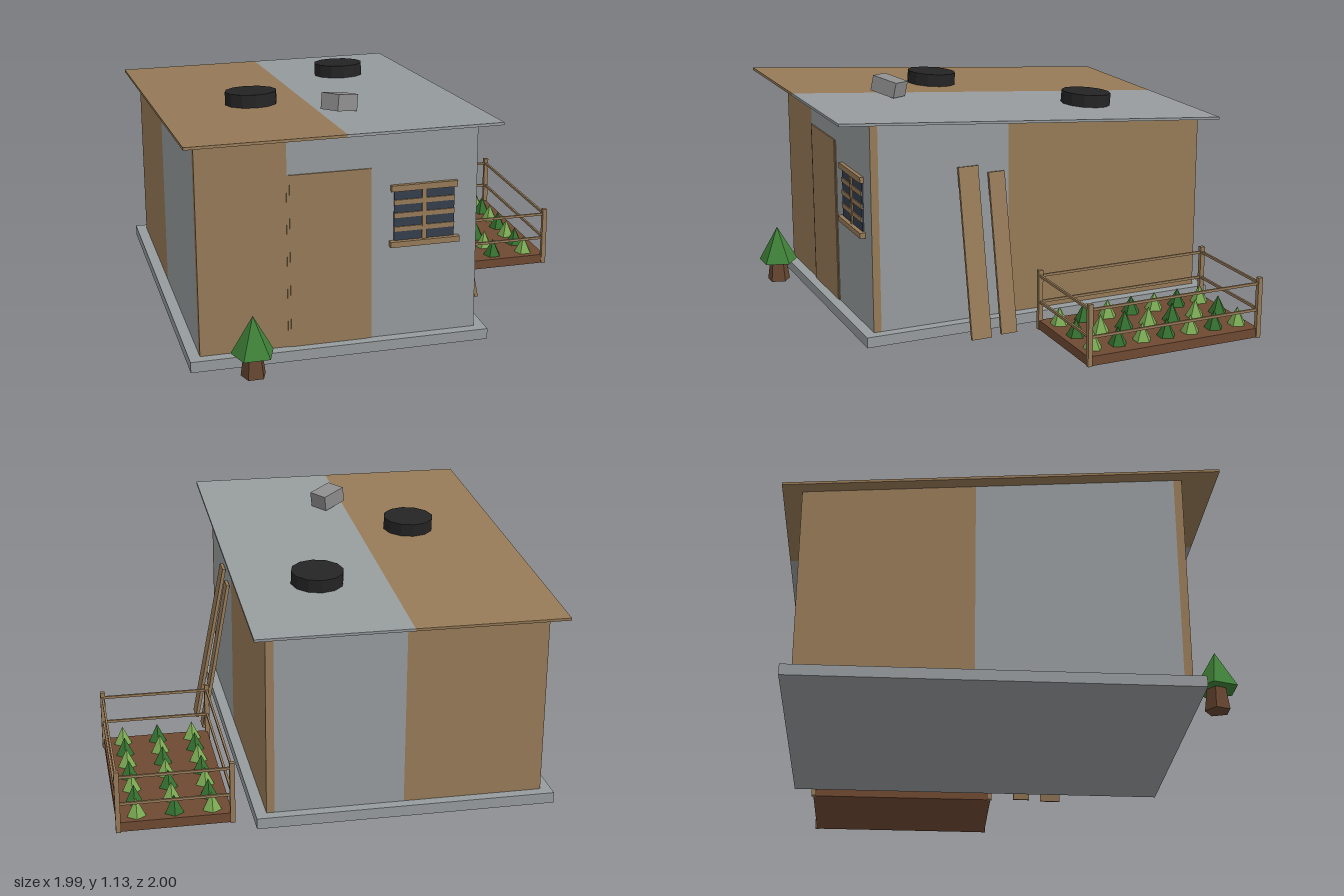
import * as THREE from 'three';

const mat = (name, color) => Object.assign(new THREE.MeshStandardMaterial({ color }), { name });

export function createModel() {
  const root = new THREE.Group();
  root.name = 'shack';
  const wood = mat('wood', 0x967a58);
  const grey = mat('grey panel', 0x969b9d);
  const brickGrey = mat('block grey', 0x8e8e8e);
  const glass = mat('window glass', 0x353f4d);
  const rubber = mat('tyre black', 0x242424);
  const soil = mat('soil', 0x6e4932);
  const trunkBrown = mat('trunk brown', 0x664630);
  const darkGreen = mat('dark green', 0x35702f);
  const lightGreen = mat('light green', 0x7cab54);
  const treeGreen = mat('tree green', 0x3f8038);
  [rubber, darkGreen, lightGreen, treeGreen, trunkBrown].forEach(m => { m.flatShading = true; });

  const add = (name, geo, material, x = 0, y = 0, z = 0, parent = root) => {
    const mesh = new THREE.Mesh(geo, material);
    mesh.name = name;
    mesh.position.set(x, y, z);
    parent.add(mesh);
    return mesh;
  };
  // box given by its extents
  const block = (name, material, x0, x1, y0, y1, z0, z1, parent) =>
    add(name, new THREE.BoxGeometry(x1 - x0, y1 - y0, z1 - z0), material,
      (x0 + x1) / 2, (y0 + y1) / 2, (z0 + z1) / 2, parent);
  const group = (name) => {
    const g = new THREE.Group();
    g.name = name;
    root.add(g);
    return g;
  };

  // sloping roof line
  const slope = 0.0775, tilt = -Math.atan(slope);
  const roofTop = z => 1.06 - slope * (0.937 - z);

  block('foundation', grey, -0.985, 0.38, 0, 0.05, -0.962, 0.825);

  // walls: panels whose tops follow the roof
  const walls = group('walls');
  const wall = (name, material, x0, x1, z0, z1) => {
    const geo = new THREE.BoxGeometry(x1 - x0, 1, z1 - z0);
    geo.translate((x0 + x1) / 2, 0, (z0 + z1) / 2);
    const p = geo.attributes.position;
    for (let i = 0; i < p.count; i++) p.setY(i, p.getY(i) > 0 ? roofTop(p.getZ(i)) - 0.01 : 0.05);
    geo.computeVertexNormals();
    add(name, geo, material, 0, 0, 0, walls);
  };
  const X0 = -0.935, X1 = 0.33, Z0 = -0.913, Z1 = 0.775, T = 0.037;
  wall('frontWallWood', wood, X0, -0.535, Z1 - T, Z1);
  wall('frontWallGrey', [wood, grey, grey, grey, grey, grey], -0.535, X1, Z1 - T, Z1);
  wall('rightWallGrey', grey, X1 - T, X1, 0.1, Z1 - T);
  wall('rightWallWood', wood, X1 - T, X1, Z0, 0.1);
  wall('backWallGrey', grey, -0.295, X1 - T, Z0, Z0 + T);
  wall('backWallWood', wood, X0, -0.295, Z0, Z0 + T);
  wall('leftWallWood', wood, X0, X0 + T, Z0 + T, -0.15);
  wall('leftWallGrey', grey, X0, X0 + T, -0.15, Z1 - T);

  // roof in two colours
  const roof = (name, material, x0, x1) => {
    const zc = -0.0315;
    const m = add(name, new THREE.BoxGeometry(x1 - x0, 0.012, 1.941), material,
      (x0 + x1) / 2, roofTop(zc) - 0.006, zc);
    m.rotation.x = tilt;
  };
  roof('roofWood', wood, -1, -0.305);
  roof('roofGrey', grey, -0.305, 0.39);

  // tyres and a loose block weighing the roof down
  for (const [x, z] of [[-0.555, 0.13], [0.015, -0.46]]) {
    const tyre = add('tyre', new THREE.CylinderGeometry(0.121, 0.121, 0.06, 12), rubber, x, roofTop(z) + 0.031, z);
    tyre.rotation.x = tilt;
  }
  const brick = add('roofBlock', new THREE.BoxGeometry(0.135, 0.075, 0.1), brickGrey, -0.222, 1.075, 0.478);
  brick.rotation.set(tilt, 0.62, -0.15, 'XYZ');

  // door
  const door = group('door');
  block('doorPanel', wood, -0.525, -0.17, 0.05, 0.85, Z1, Z1 + 0.006, door);
  for (const x of [-0.538, -0.17])
    block('doorJamb', wood, x, x + 0.013, 0.05, 0.85, Z1, Z1 + 0.003, door);

  // window with slats
  const win = group('window');
  block('pane', glass, -0.055, 0.223, 0.5, 0.745, Z1, Z1 + 0.007, win);
  block('lintel', wood, -0.07, 0.235, 0.737, 0.765, Z1, Z1 + 0.018, win);
  block('sill', wood, -0.075, 0.245, 0.48, 0.506, Z1, Z1 + 0.027, win);
  block('mullion', wood, 0.073, 0.093, 0.506, 0.737, Z1, Z1 + 0.014, win);
  for (const y of [0.56, 0.624, 0.685])
    block('slat', wood, -0.055, 0.223, y - 0.011, y + 0.011, Z1, Z1 + 0.012, win);

  // planks leaning on the wall
  const plank = (xTop, yTop, xFoot, z, width, twist) => {
    const dx = xFoot - xTop;
    const m = add('leaningPlank', new THREE.BoxGeometry(0.016, Math.hypot(dx, yTop), width), wood,
      (xTop + xFoot) / 2, yTop / 2 + 0.005, z);
    m.rotation.set(twist, 0, Math.atan(dx / yTop));
  };
  plank(0.341, 0.787, 0.494, 0.309, 0.098, 0);
  plank(0.341, 0.748, 0.477, 0.165, 0.08, 0.006);

  // five-sided plants, one corner to the back
  const cone = (name, material, r0, r1, y0, y1, x, z, parent) => {
    const m = add(name, new THREE.CylinderGeometry(r1, r0, y1 - y0, 5), material, x, (y0 + y1) / 2, z, parent);
    m.rotation.y = Math.PI;
  };
  const tree = group('tree');
  cone('trunk', trunkBrown, 0.058, 0.043, 0, 0.11, -0.725, 0.92, tree);
  cone('foliage', treeGreen, 0.1, 0, 0.103, 0.28, -0.725, 0.92, tree);

  // garden bed with crops in a checker pattern
  const garden = group('garden');
  block('soilBed', soil, 0.475, 0.985, 0, 0.045, -0.875, 0.008, garden);
  for (let row = 0; row < 7; row++)
    for (let col = 0; col < 3; col++)
      cone('crop', (row + col) % 2 ? darkGreen : lightGreen, 0.045, 0, 0.045, 0.13,
        0.56 + col * 0.168, -0.815 + row * 0.126, garden);

  // fence
  const fx = [0.475, 0.981], fz = [-0.873, 0.002];
  for (const x of fx)
    for (const z of fz)
      block('fencePost', wood, x - 0.011, x + 0.011, 0, 0.292, z - 0.011, z + 0.011, garden);
  for (const y of [0.136, 0.264]) {
    for (const z of fz) block('crossRail', wood, fx[0], fx[1], y - 0.006, y + 0.006, z - 0.005, z + 0.005, garden);
    for (const x of fx) block('sideRail', wood, x - 0.005, x + 0.005, y - 0.006, y + 0.006, fz[0], fz[1], garden);
  }
  return root;
}
